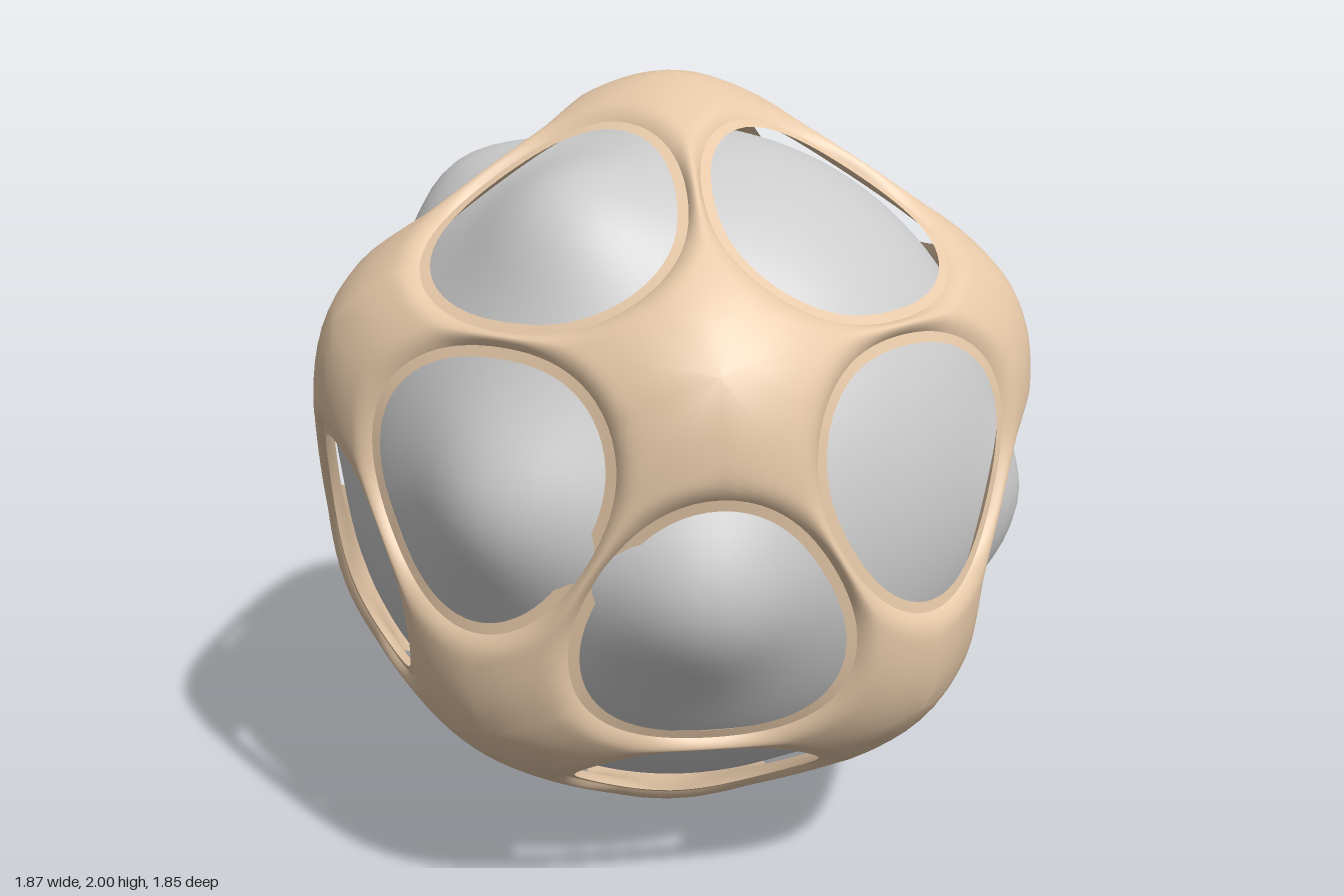
import * as THREE from 'three';
import { mergeVertices } from 'three/addons/utils/BufferGeometryUtils.js';

const RAD = Math.PI / 180;
const N = 72; // segments round each hole

// Unit direction from azimuth (0 = +x, 90 = +z) and height above the equator
function dir(az, el) {
  return new THREE.Vector3(
    Math.cos(el * RAD) * Math.cos(az * RAD), Math.sin(el * RAD), Math.cos(el * RAD) * Math.sin(az * RAD));
}

// The twenty triangles of an icosahedron standing on one corner
function icosaFaces() {
  const el = Math.atan(0.5) / RAD;
  const top = dir(0, 90), bottom = dir(0, -90);
  const U = (k) => dir(72 * k, el), L = (k) => dir(72 * k + 36, -el);
  const faces = [];
  for (let k = 0; k < 5; k++) {
    faces.push([top, U(k), U(k + 1)], [L(k), U(k), U(k + 1)],
      [U(k + 1), L(k), L(k + 1)], [bottom, L(k), L(k + 1)]);
  }
  return faces.map(([a, b, c]) => {
    const centre = a.clone().add(b).add(c).divideScalar(3);
    const n = centre.clone().normalize();
    const e1 = a.clone().sub(centre).normalize();
    return { centre, n, e1, e2: n.clone().cross(e1) };
  });
}

const faces = icosaFaces();

// Softly rounded icosahedron: radius in any direction, 1 at the corners
const P = 12;
const norm = (d) => Math.pow(
  faces.reduce((s, f) => s + Math.pow(Math.max(0, d.dot(f.n)), P), 0), 1 / P);
const CORNER = norm(dir(0, 90));
const shellRadius = (d) => 0.1 + 0.9 * CORNER / norm(d);

// Outline of the triangle and of its rounded hole, by angle about the face centre
function border(th) {
  const third = (2 * Math.PI) / 3;
  return 0.30353 / Math.cos((th % third) - third / 2);
}
const hole = (th) => 0.303 + 0.017 * Math.cos(3 * th);
const LIP = 0.025, DROP = 0.022;

// Point on a face at angle th and planar distance q, moved inward by drop
function place(f, th, q, drop) {
  const d = f.centre.clone()
    .addScaledVector(f.e1, q * Math.cos(th))
    .addScaledVector(f.e2, q * Math.sin(th)).normalize();
  return d.multiplyScalar(shellRadius(d) - drop);
}

// Outer skin: t = 0 at the hole, 1 at the ridge; it curls in towards the hole
function outerPoint(f, th, t) {
  const h = hole(th), span = border(th) - h;
  const w = span * t * t * (3 - 2 * t);
  const curl = Math.max(0, 1 - w / Math.min(span, 0.045));
  return place(f, th, h + w, DROP * curl * curl);
}

// Lip: narrow flange inside the hole, facing outwards
function lipPoint(f, th, t) {
  return place(f, th, hole(th) - LIP * (1 - t), DROP + 0.003 * (1 - t));
}

// Inner skin: from the ridge underside to the lip's inner edge
function innerPoint(f, th, t) {
  const b = border(th), lip = hole(th) - LIP;
  return place(f, th, b + (lip - b) * t, 0.045 + (DROP + 0.003 - 0.045) * t * t);
}

// Skin all twenty faces with rings of points, welded along the ridges
function skin(pointAt, rows) {
  const pos = [], index = [];
  for (const f of faces) {
    const base = pos.length / 3;
    for (let j = 0; j <= rows; j++) {
      for (let i = 0; i < N; i++) {
        const p = pointAt(f, (i / N) * 2 * Math.PI, j / rows);
        pos.push(p.x, p.y + 1, p.z);
      }
    }
    for (let j = 0; j < rows; j++) {
      for (let i = 0; i < N; i++) {
        const a = base + j * N + i, b = base + j * N + (i + 1) % N;
        index.push(a, a + N, b + N, a, b + N, b);
      }
    }
  }
  const g = new THREE.BufferGeometry();
  g.setAttribute('position', new THREE.Float32BufferAttribute(pos, 3));
  g.setIndex(index);
  const welded = mergeVertices(g, 1e-5);
  welded.computeVertexNormals();
  return welded;
}

// Core: a ball with soft swellings that push out through some of the holes
function coreGeometry() {
  const swellings = [ // azimuth, elevation, height
    [180, 53, 0.085], [108, 54, 0.085], [0, -53, 0.085], [-72, -53, 0.085],
    [180, 6, 0.075], [105, 7, 0.09], [0, -5, 0.07], [74, -5, 0.095],
  ].map(([az, el, height]) => ({ d: dir(az, el), height }));
  const g = new THREE.SphereGeometry(1, 96, 64);
  const pos = g.attributes.position, v = new THREE.Vector3();
  for (let i = 0; i < pos.count; i++) {
    v.fromBufferAttribute(pos, i).normalize();
    let r = 0.86;
    for (const s of swellings) {
      const angle = v.angleTo(s.d);
      r += s.height * Math.exp(-angle * angle / 0.06);
    }
    v.multiplyScalar(r);
    pos.setXYZ(i, v.x, v.y + 1, v.z);
  }
  g.computeVertexNormals();
  return g;
}

export function createModel() {
  const model = new THREE.Group();
  const tan = new THREE.MeshStandardMaterial({ color: 0xe6c8a8, side: THREE.DoubleSide });
  const grey = new THREE.MeshStandardMaterial({ color: 0xcccccc });

  const add = (parent, name, geometry, material) => {
    const mesh = new THREE.Mesh(geometry, material);
    mesh.name = name;
    parent.add(mesh);
  };

  const shell = new THREE.Group();
  shell.name = 'shell';
  add(shell, 'outerSkin', skin(outerPoint, 14), tan);
  add(shell, 'holeLips', skin(lipPoint, 1), tan);
  add(shell, 'innerSkin', skin(innerPoint, 5), tan);
  model.add(shell);

  add(model, 'core', coreGeometry(), grey);
  return model;
}
